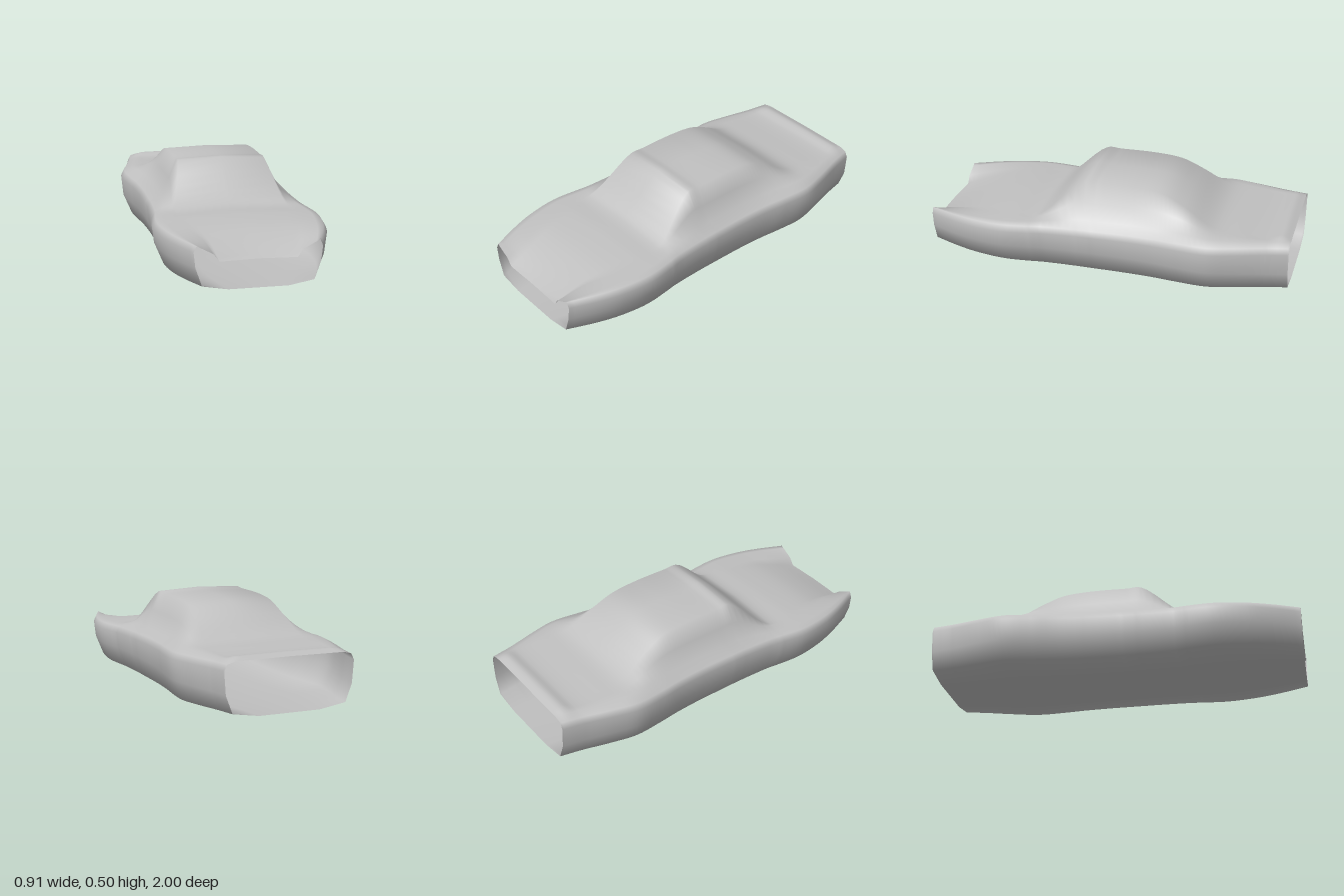
import * as THREE from 'three';

// Upper body stations, front to back:
// z, half width, base x, base y, pillar x, pillar y, roof edge x, roof edge y, centre y
const STATIONS = [
  [1, 0.322, 0.29, 0.234, 0.225, 0.2, 0.195, 0.16, 0.165],
  [0.85, 0.385, 0.34, 0.247, 0.25, 0.235, 0.21, 0.215, 0.22],
  [0.72, 0.425, 0.37, 0.255, 0.29, 0.252, 0.235, 0.25, 0.254],
  [0.55, 0.447, 0.39, 0.262, 0.31, 0.262, 0.26, 0.268, 0.275],
  [0.4, 0.43, 0.37, 0.268, 0.315, 0.268, 0.3, 0.272, 0.286],
  [0.34, 0.42, 0.36, 0.274, 0.31, 0.287, 0.288, 0.305, 0.318],
  [0.14, 0.41, 0.335, 0.295, 0.285, 0.38, 0.24, 0.48, 0.492],
  [0.06, 0.41, 0.335, 0.297, 0.285, 0.38, 0.24, 0.48, 0.486],
  [-0.15, 0.413, 0.335, 0.3, 0.285, 0.38, 0.24, 0.48, 0.487],
  [-0.3, 0.424, 0.345, 0.3, 0.29, 0.375, 0.24, 0.464, 0.472],
  [-0.42, 0.441, 0.36, 0.303, 0.305, 0.355, 0.25, 0.41, 0.42],
  [-0.58, 0.455, 0.385, 0.303, 0.33, 0.312, 0.27, 0.32, 0.325],
  [-0.72, 0.425, 0.36, 0.3, 0.31, 0.302, 0.26, 0.303, 0.306],
  [-0.88, 0.38, 0.32, 0.298, 0.29, 0.298, 0.26, 0.298, 0.3],
  [-0.95, 0.365, 0.31, 0.302, 0.28, 0.312, 0.25, 0.314, 0.316],
  [-1, 0.355, 0.3, 0.297, 0.28, 0.298, 0.25, 0.298, 0.3],
];

// Half cross-section from the floor centre, round the side, to the roof centre
function halfSection([z, w, bx, by, px, py, ex, ey, cy]) {
  const floor = 0.018 * z * z;
  const shoulder = 0.265 - 0.021 * z;
  return [
    [0, floor], [0.47 * w, floor], [0.875 * w, floor + 0.023],
    [0.975 * w, 0.135], [w, shoulder - 0.032], [0.955 * w, shoulder],
    [bx, by], [px, py], [ex, ey], [0, cy],
  ].map(([x, y]) => new THREE.Vector3(x, y, z));
}

// Smooth lengthwise curves joined into one closed-sided shell
function shellGeometry(steps) {
  const sections = STATIONS.map(halfSection);
  const last = sections[0].length - 1;
  const rails = sections[0].map((_, j) =>
    new THREE.CatmullRomCurve3(sections.map((s) => s[j]), false, 'centripetal'));
  const ring = last * 2;
  const positions = [];
  const indices = [];
  for (let i = 0; i <= steps; i++) {
    for (let j = 0; j < ring; j++) {
      const mirrored = j > last;
      const p = rails[mirrored ? ring - j : j].getPoint(i / steps);
      positions.push(mirrored ? -p.x : p.x, p.y, p.z);
      if (i === steps) continue;
      const a = i * ring + j;
      const b = i * ring + (j + 1) % ring;
      indices.push(a, a + ring, b, b, a + ring, b + ring);
    }
  }
  const geometry = new THREE.BufferGeometry();
  geometry.setAttribute('position', new THREE.Float32BufferAttribute(positions, 3));
  geometry.setIndex(indices);
  geometry.computeVertexNormals();
  return geometry;
}

export function createModel() {
  const grey = new THREE.MeshStandardMaterial({ color: 0xc0c0c0, side: THREE.DoubleSide });
  grey.name = 'bodyGrey';

  // Car body shell, open at the nose and tail
  const body = new THREE.Mesh(shellGeometry((STATIONS.length - 1) * 5), grey);
  body.name = 'carBodyShell';

  const model = new THREE.Group();
  model.name = 'car';
  model.add(body);
  return model;
}
